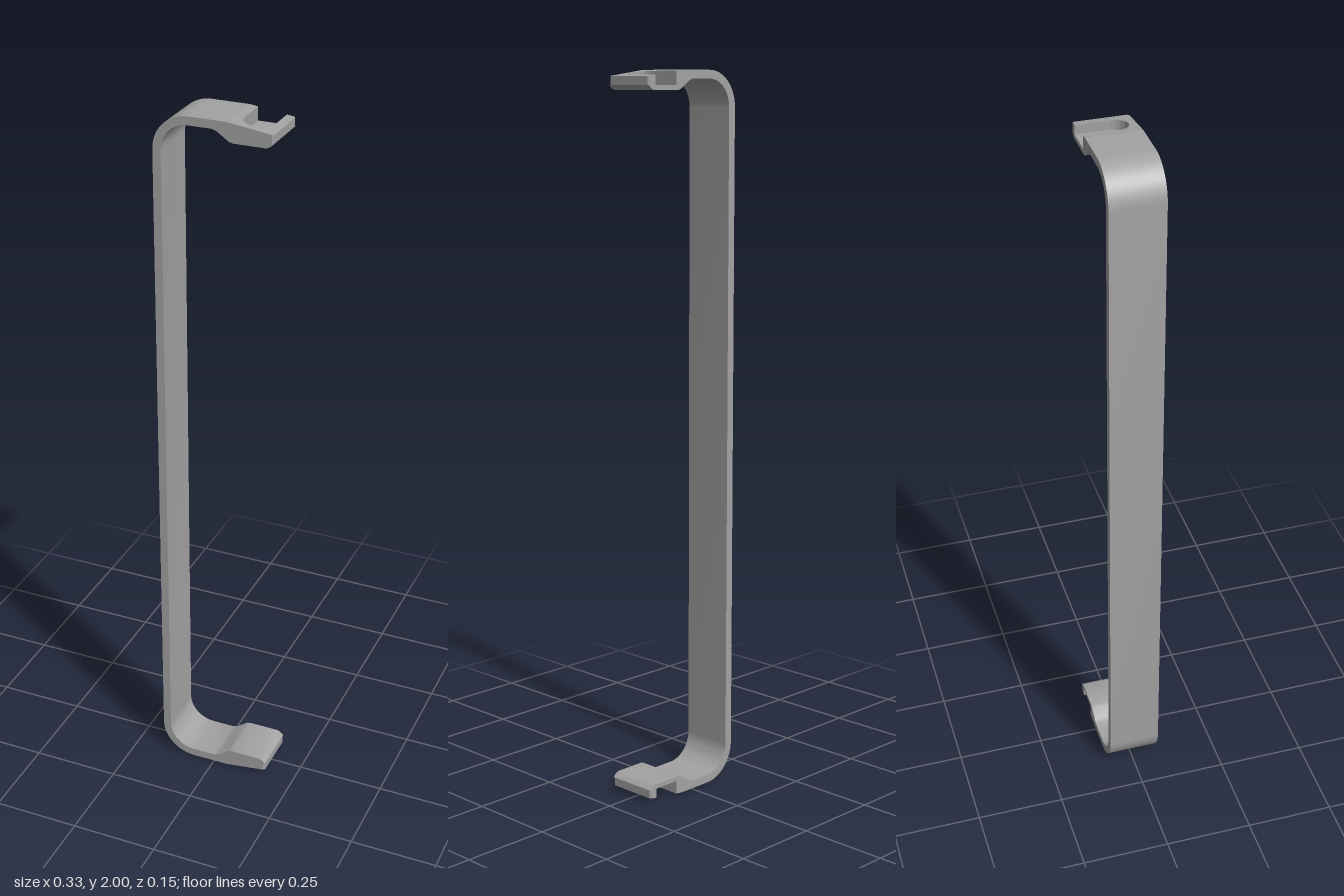
import * as THREE from 'three';
import { toCreasedNormals } from 'three/addons/utils/BufferGeometryUtils.js';

const HALF = 0.074;            // half of the strip width
const SEAT = 0.04;             // x where the slotted pad starts
const TIP = 0.164;
const FLOOR = 1.96;            // height of the slot floor
const padTop = x => 2 - 0.017 * (x - SEAT) / (TIP - SEAT);

// Mirror a geometry about y = 1, keeping the faces outward
function mirrored(geometry) {
  const g = geometry.clone();
  const p = g.attributes.position;
  for (let i = 0; i < p.count; i += 3) {
    const v = [0, 2, 1].map(k => new THREE.Vector3().fromBufferAttribute(p, i + k));
    v.forEach((q, k) => p.setXYZ(i + k, q.x, 2 - q.y, q.z));
  }
  return toCreasedNormals(g, 0.5);
}

// Quarter bend from the spine to the upper arm
function bend(cx, cy, r, n = 12) {
  return Array.from({ length: n + 1 }, (_, i) => {
    const a = Math.PI - (i / n) * Math.PI / 2;
    return [cx + r * Math.cos(a), cy + r * Math.sin(a)];
  });
}

// C-shaped strip, thinned under the slotted pads
function stripGeometry() {
  const outer = [...bend(-0.066, 1.902, 0.098), [SEAT, 2], [SEAT, FLOOR], [TIP, FLOOR]];
  const inner = [[0.154, 1.951], [0.145, 1.947], [0.056, 1.947], [0.045, 1.95],
    [0.012, 1.973], [0, 1.977], ...bend(-0.066, 1.902, 0.075).reverse()];
  const flip = pts => pts.map(([x, y]) => [x, 2 - y]).reverse();
  const outline = [...outer, ...inner, ...flip(inner), ...flip(outer)];
  const shape = new THREE.Shape(outline.map(([x, y]) => new THREE.Vector2(x, y)));
  const g = new THREE.ExtrudeGeometry(shape, { depth: 2 * HALF, bevelEnabled: false });
  g.translate(0, 0, -HALF);
  return toCreasedNormals(g, 0.5);
}

// Pad with a round-ended slot open to the back and a sloping outer face
function padGeometry() {
  const r = 0.039, cx = 0.101, c = 0.005;
  const s = new THREE.Shape();
  s.moveTo(SEAT, -HALF);
  s.lineTo(TIP - c, -HALF);
  s.lineTo(TIP, -HALF + c);
  s.lineTo(TIP, HALF - c);
  s.lineTo(TIP - c, HALF);
  s.lineTo(cx + r, HALF);
  s.lineTo(cx + r, -0.015);
  s.absarc(cx, -0.015, r, 0, -Math.PI, true);
  s.lineTo(cx - r, HALF);
  s.lineTo(SEAT, HALF);
  s.closePath();
  const g = new THREE.ExtrudeGeometry(s, { depth: 1, bevelEnabled: false, curveSegments: 20 });
  g.rotateX(-Math.PI / 2);
  const p = g.attributes.position;
  for (let i = 0; i < p.count; i++) p.setY(i, p.getY(i) > 0.5 ? padTop(p.getX(i)) : FLOOR);
  return toCreasedNormals(g, 0.5);
}

export function createModel() {
  const grey = new THREE.MeshStandardMaterial({ color: 0xa3a3a3 });
  grey.name = 'grey';
  const model = new THREE.Group();
  model.name = 'bracket';
  const add = (name, geometry) => {
    const mesh = new THREE.Mesh(geometry, grey);
    mesh.name = name;
    model.add(mesh);
  };
  const pad = padGeometry();
  add('strip', stripGeometry());
  add('upperSlottedPad', pad);
  add('lowerSlottedPad', mirrored(pad));
  return model;
}
